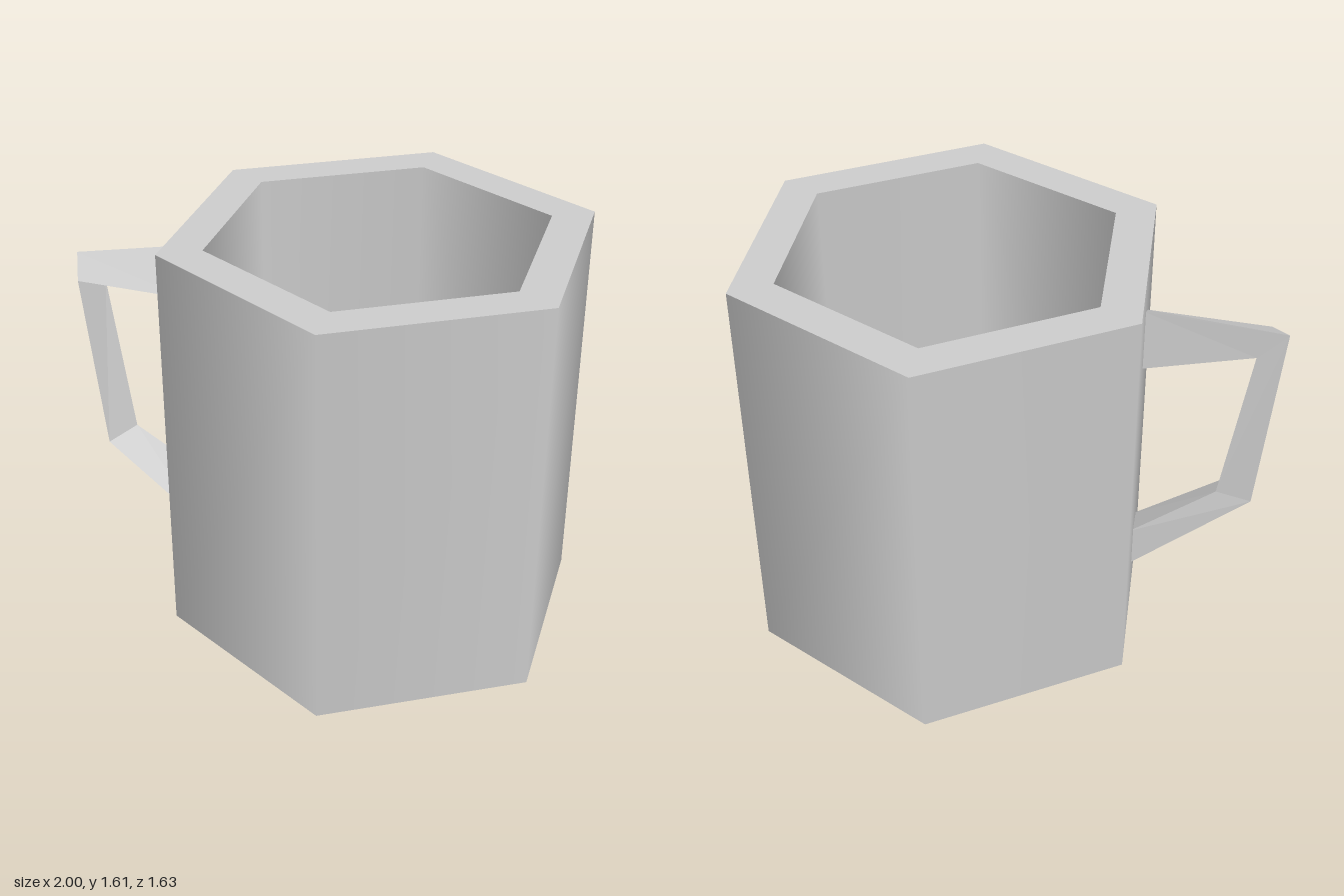
import * as THREE from 'three';

const HEIGHT = 1.61, FLOOR = 0.15, OUTER = 0.83, INNER = 0.66, SIDES = 6;
const CENTER = [0.217, -0.005];
const rad = THREE.MathUtils.degToRad;

// Open six-sided wall with smooth normals; inward turns it inside out
function wall(radius, y0, y1, inward) {
  const g = new THREE.CylinderGeometry(radius, radius, y1 - y0, SIDES, 1, true, rad(-10));
  g.translate(0, (y0 + y1) / 2, 0);
  if (inward) {
    g.index.array.reverse();
    const n = g.attributes.normal;
    for (let i = 0; i < n.count; i++) n.setXYZ(i, -n.getX(i), -n.getY(i), -n.getZ(i));
  }
  return g;
}

// Tapered triangular bar through a list of three-point sections
function triangularBar(sections) {
  const pos = [];
  for (let i = 0; i < sections.length - 1; i++) {
    for (let j = 0; j < 3; j++) {
      const k = (j + 1) % 3;
      const p = sections[i][j], q = sections[i + 1][j];
      const r = sections[i][k], s = sections[i + 1][k];
      pos.push(...p, ...q, ...r, ...r, ...q, ...s);
    }
  }
  const g = new THREE.BufferGeometry();
  g.setAttribute('position', new THREE.Float32BufferAttribute(pos, 3));
  g.computeVertexNormals();
  return g;
}

export function createModel() {
  const model = new THREE.Group();
  model.name = 'mug';
  const grey = new THREE.MeshStandardMaterial({ color: 0xcccccc });
  grey.name = 'light grey';

  const add = (parent, name, geometry) => {
    const mesh = new THREE.Mesh(geometry, grey);
    mesh.name = name;
    parent.add(mesh);
  };

  // Hexagonal cup
  const cup = new THREE.Group();
  cup.name = 'cup';
  cup.position.set(CENTER[0], 0, CENTER[1]);
  model.add(cup);
  add(cup, 'outerWall', wall(OUTER, 0, HEIGHT, false));
  add(cup, 'innerWall', wall(INNER, FLOOR, HEIGHT, true));
  add(cup, 'rim', new THREE.RingGeometry(INNER, OUTER, SIDES, 1, rad(20))
    .rotateX(-Math.PI / 2).translate(0, HEIGHT, 0));
  add(cup, 'innerFloor', new THREE.CircleGeometry(INNER, SIDES, rad(20))
    .rotateX(-Math.PI / 2).translate(0, FLOOR, 0));
  add(cup, 'base', new THREE.CircleGeometry(OUTER, SIDES, rad(40)).rotateX(Math.PI / 2));

  // Angular handle: each section is outer back edge, front edge, inner back edge
  add(model, 'handle', triangularBar([
    [[-0.47, 1.44, -0.20], [-0.50, 1.31, 0.02], [-0.47, 1.19, -0.20]],
    [[-1.00, 1.355, -0.25], [-0.965, 1.30, -0.105], [-0.89, 1.25, -0.235]],
    [[-0.93, 0.57, -0.235], [-0.885, 0.585, -0.085], [-0.795, 0.60, -0.205]],
    [[-0.47, 0.205, -0.17], [-0.50, 0.30, 0.03], [-0.47, 0.38, -0.17]],
  ]));

  return model;
}
